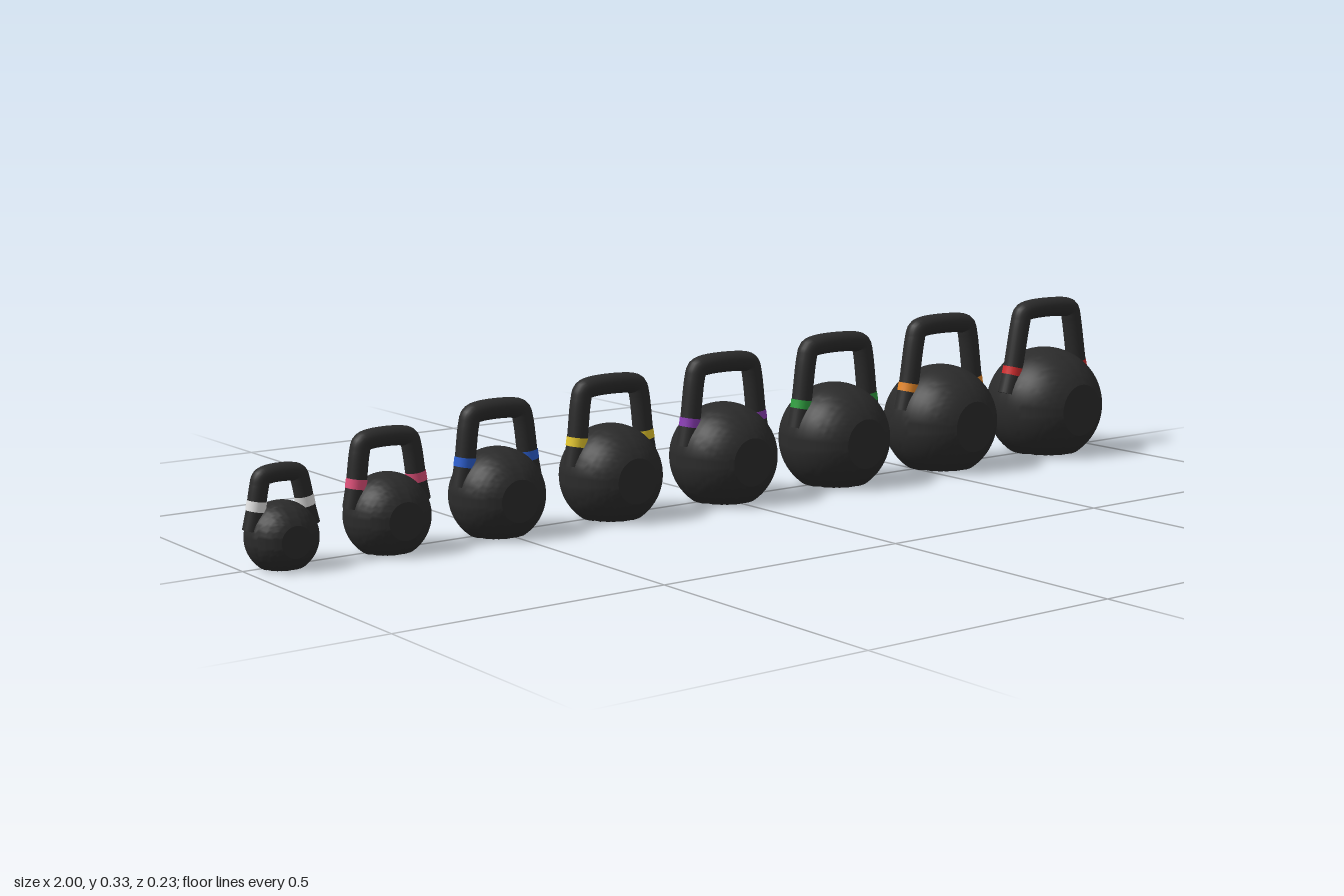
import * as THREE from 'three';
import { toCreasedNormals } from 'three/addons/utils/BufferGeometryUtils.js';

const iron = new THREE.MeshStandardMaterial({ color: 0x2b2b2b });
iron.name = 'black iron';
const paint = (name, color) => {
  const m = new THREE.MeshStandardMaterial({ color });
  m.name = name;
  return m;
};

// x centre, ball radius, total height, half width at feet, half width at grip, tube radius, band paint
const bells = [
  [-0.93, 0.0625, 0.176, 0.07, 0.054, 0.016, paint('white band', 0xe4e4e4)],
  [-0.73, 0.076, 0.216, 0.084, 0.068, 0.0175, paint('pink band', 0xe0507a)],
  [-0.508, 0.087, 0.243, 0.092, 0.075, 0.0185, paint('blue band', 0x2c5fd0)],
  [-0.262, 0.096, 0.265, 0.101, 0.084, 0.019, paint('yellow band', 0xe6c82e)],
  [0, 0.104, 0.283, 0.108, 0.088, 0.0195, paint('purple band', 0x8a3cb4)],
  [0.278, 0.111, 0.299, 0.115, 0.093, 0.02, paint('green band', 0x2fa040)],
  [0.564, 0.117, 0.315, 0.121, 0.094, 0.0203, paint('orange band', 0xe8892a)],
  [0.867, 0.123, 0.327, 0.131, 0.097, 0.0205, paint('red band', 0xd02c2e)],
];

// Ball cut flat underneath and on the front
function ballGeometry(r, cy) {
  const g = new THREE.SphereGeometry(r, 72, 48).rotateX(Math.PI / 2);
  const p = g.attributes.position;
  const v = new THREE.Vector3();
  for (let i = 0; i < p.count; i++) {
    v.fromBufferAttribute(p, i);
    const low = v.y < -cy ? -cy / v.y : 1;
    const front = v.z > r * 0.9 ? (r * 0.9) / v.z : 1;
    v.multiplyScalar(Math.min(low, front));
    p.setXYZ(i, v.x, v.y, v.z);
  }
  return toCreasedNormals(g, 0.3);
}

function makeBell([x, r, height, foot, grip, t, bandPaint]) {
  const bell = new THREE.Group();
  bell.name = 'kettlebell';
  const add = (name, geometry, material) => {
    const mesh = new THREE.Mesh(geometry, material);
    mesh.name = name;
    bell.add(mesh);
    return mesh;
  };
  const cy = r * 0.815;
  add('ball', ballGeometry(r, cy), iron).position.y = cy;

  // Handle centre line: flared leg, then rounded corner, then mirrored
  const bottom = cy + r * 0.26;
  const bandY = bottom + 0.035 + 0.1 * r;
  const top = height - t;
  const fx = foot - t;
  const gx = grip - t;
  const legX = (y) => gx + (fx - gx) * Math.pow((top - y) / (top - bottom), 1.6);
  const half = [
    [fx, bottom],
    [legX(bandY - 0.0085), bandY - 0.0085],
    [legX(bandY + 0.0085), bandY + 0.0085],
    [gx, top - 1.2 * t],
    [gx - 0.3 * t, top - 0.3 * t],
    [gx - 1.2 * t, top],
  ];
  const points = [...half, ...half.slice().reverse().map(([a, b]) => [-a, b])]
    .map(([a, b]) => new THREE.Vector3(a, b, 0));
  const path = new THREE.CatmullRomCurve3(points, false, 'centripetal');
  add('handle', new THREE.TubeGeometry(path, 80, t, 24), iron);

  // Closed feet of the legs
  for (const end of [0, 1]) {
    const cap = add('handleEnd', new THREE.CircleGeometry(t, 24), iron);
    const out = path.getTangent(end).multiplyScalar(end ? 1 : -1);
    cap.position.copy(path.getPoint(end));
    cap.quaternion.setFromUnitVectors(new THREE.Vector3(0, 0, 1), out);
  }

  // Painted weight band around each leg
  const n = points.length - 1;
  for (const start of [1, n - 2]) {
    const pts = [0, 0.25, 0.5, 0.75, 1].map((k) => path.getPoint((start + k) / n));
    const line = new THREE.CatmullRomCurve3(pts);
    add('colourBand', new THREE.TubeGeometry(line, 6, t + 0.0008, 24), bandPaint);
  }
  bell.position.set(x, 0, 0.006);
  return bell;
}

export function createModel() {
  const set = new THREE.Group();
  set.name = 'kettlebellSet';
  for (const spec of bells) set.add(makeBell(spec));
  return set;
}
